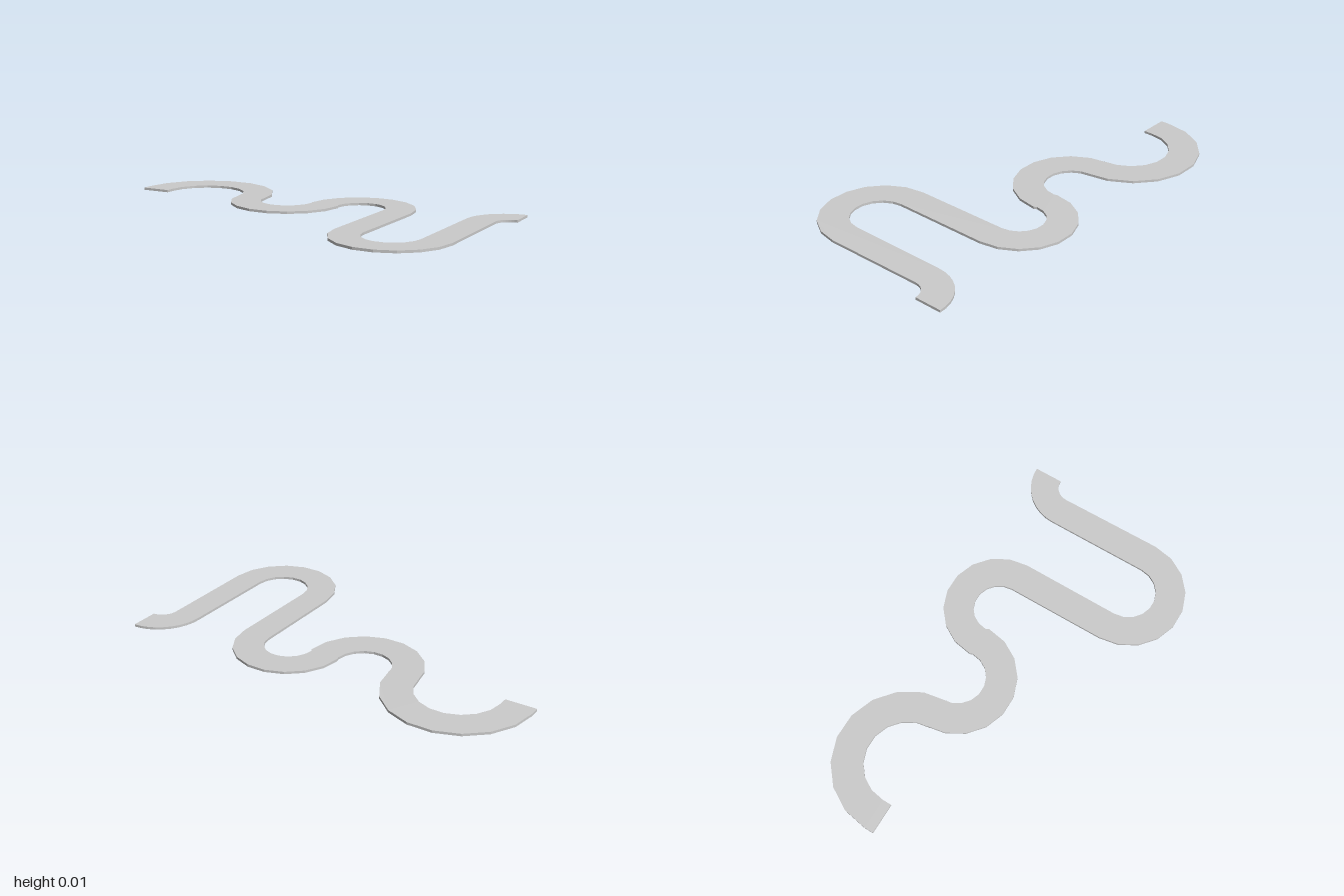
import * as THREE from 'three';

const THICKNESS = 0.012;
const SEGMENTS = 9;

// Bends from left to right: centre x, centre z, back-edge radius, front-edge radius, end angle.
// Every bend starts at angle PI; straight legs appear between consecutive bends.
const BENDS = [
  [-0.645, -0.19, 0.355, 0.203, 0],
  [-0.16, -0.215, 0.135, 0.285, 2 * Math.PI],
  [0.24, -0.23, 0.27, 0.123, 0],
  [0.645, 0.262, 0.137, 0.282, 2 * Math.PI],
  [1.0, -0.25, 0.217, 0.077, Math.PI / 2],
];

// Points along one edge of the ribbon, in plan (shape y = -z)
function edge(side, start) {
  const points = [start];
  for (const [cx, cz, backRadius, frontRadius, end] of BENDS) {
    const r = side === 'back' ? backRadius : frontRadius;
    for (let i = 0; i <= SEGMENTS; i++) {
      const a = Math.PI + (end - Math.PI) * (i / SEGMENTS);
      points.push(new THREE.Vector2(cx + r * Math.cos(a), -cz + r * Math.sin(a)));
    }
  }
  return points;
}

export function createModel() {
  const group = new THREE.Group();
  group.name = 'windingPath';

  // Outline: along the back edge, then home along the front edge
  const back = edge('back', new THREE.Vector2(-1, 0.145));
  const front = edge('front', new THREE.Vector2(-0.848, 0.145));
  const outline = new THREE.Shape([...back, ...front.reverse()]);

  const geometry = new THREE.ExtrudeGeometry(outline, { depth: THICKNESS, bevelEnabled: false });
  geometry.rotateX(-Math.PI / 2);

  const path = new THREE.Mesh(
    geometry,
    new THREE.MeshStandardMaterial({ color: 0xcccccc, flatShading: true })
  );
  path.name = 'pathSlab';
  group.add(path);
  return group;
}
